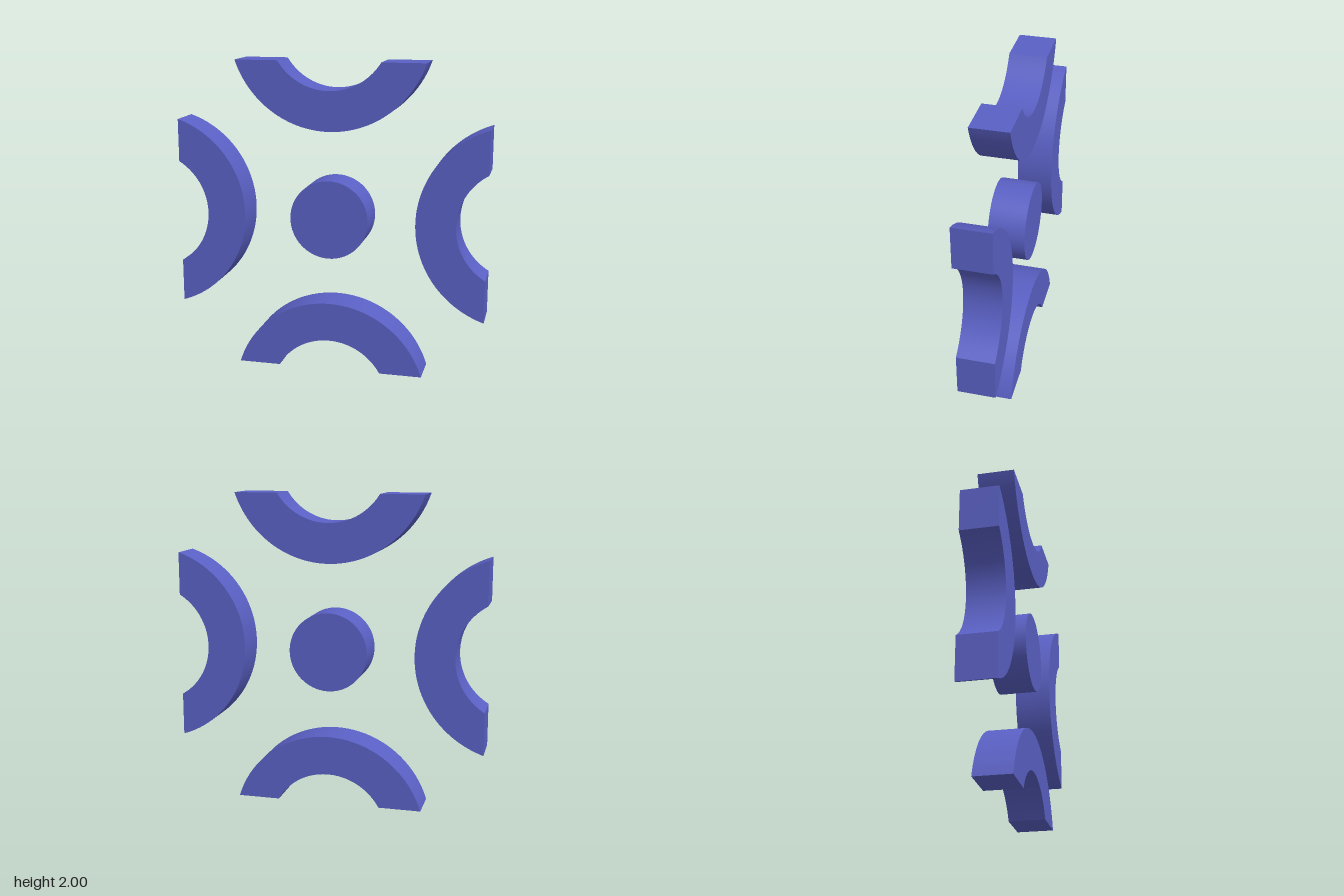
import * as THREE from 'three';
import { toCreasedNormals } from 'three/addons/utils/BufferGeometryUtils.js';

const DEPTH = 0.236;
const OUTER = 0.637;
const INNER = 0.385;

// Ring segment opening along +x, cut off straight at the given distance from its centre
function arcGeometry(cut) {
  const a = Math.acos(cut / OUTER);
  const b = Math.acos(cut / INNER);
  const shape = new THREE.Shape();
  shape.absarc(0, 0, OUTER, -a, a, false);
  shape.absarc(0, 0, INNER, b, -b, true);
  shape.closePath();
  const geometry = new THREE.ExtrudeGeometry(shape, { depth: DEPTH, bevelEnabled: false, curveSegments: 40 });
  geometry.translate(0, 0, -DEPTH / 2);
  return toCreasedNormals(geometry, 0.5);
}

export function createModel() {
  const group = new THREE.Group();
  const material = new THREE.MeshStandardMaterial({ color: 0x5a60c4 });

  // Central disc
  const disc = new THREE.Mesh(new THREE.CylinderGeometry(0.252, 0.252, DEPTH, 64), material);
  disc.name = 'centerDisc';
  disc.rotation.x = Math.PI / 2;
  disc.position.y = 1.004;
  group.add(disc);

  // Four arcs, each bulging towards the disc
  const arcs = [
    { name: 'bottomArc', x: 0, y: -0.189, cut: 0.189, turn: Math.PI / 2 },
    { name: 'topArc', x: 0, y: 2.204, cut: 0.204, turn: -Math.PI / 2 },
    { name: 'leftArc', x: 1.189, y: 1.006, cut: 0.195, turn: Math.PI },
    { name: 'rightArc', x: -1.191, y: 1.008, cut: 0.195, turn: 0 },
  ];
  for (const { name, x, y, cut, turn } of arcs) {
    const arc = new THREE.Mesh(arcGeometry(cut), material);
    arc.name = name;
    arc.position.set(x, y, 0);
    arc.rotation.z = turn;
    group.add(arc);
  }
  return group;
}
